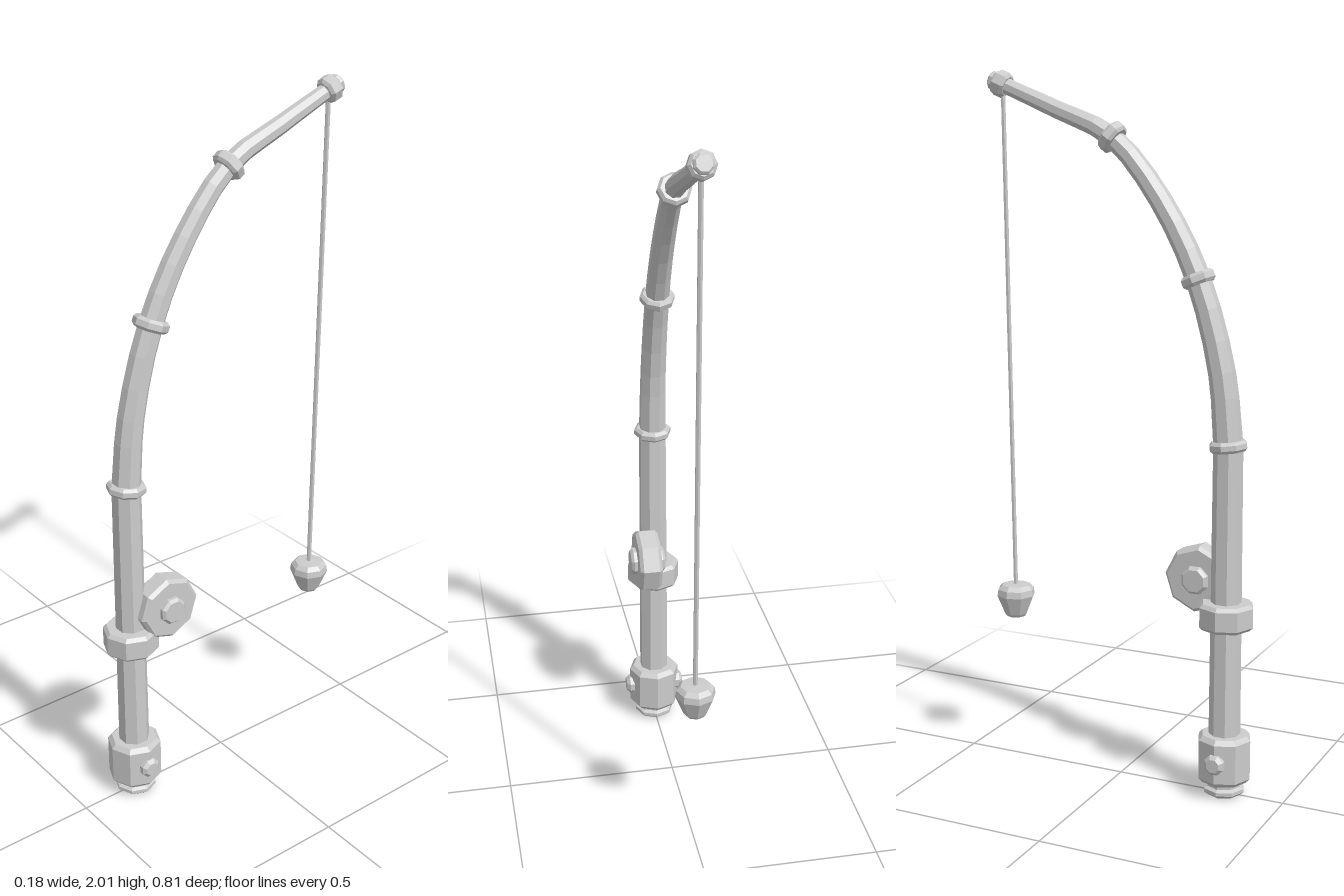
import * as THREE from 'three';

const SIDES = 8;
const ROD_Z = 0.323;
const material = new THREE.MeshStandardMaterial({ color: 0xcccccc, flatShading: true });

// Octagonal turned part from [radius, height] pairs, listed bottom to top
function turned(name, profile, phase = 0) {
  const points = profile.map(([r, y]) => new THREE.Vector2(r, y));
  const mesh = new THREE.Mesh(new THREE.LatheGeometry(points, SIDES, phase), material);
  mesh.name = name;
  return mesh;
}

// Closed disc with chamfered rims, centred on its own axis
function chamfered(name, radius, height, bevel, phase = 0) {
  const h = height / 2;
  return turned(name, [
    [0, -h], [radius - bevel, -h], [radius, -h + bevel],
    [radius, h - bevel], [radius - bevel, h], [0, h],
  ], phase);
}

// Bent pole: a tapered octagon swept along a curve in the yz plane
function sweptPole(curve, steps, radiusAt) {
  const positions = [];
  const index = [];
  for (let i = 0; i <= steps; i++) {
    const t = i / steps;
    const p = curve.getPoint(t);
    const d = curve.getTangent(t);
    const r = radiusAt(p, t);
    for (let j = 0; j < SIDES; j++) {
      const a = ((j + 0.5) / SIDES) * Math.PI * 2;
      const u = r * Math.sin(a);
      const v = r * Math.cos(a);
      positions.push(u, p.y - v * d.z, p.z + v * d.y);
    }
  }
  for (let i = 0; i < steps; i++) {
    for (let j = 0; j < SIDES; j++) {
      const a = i * SIDES + j;
      const b = i * SIDES + ((j + 1) % SIDES);
      index.push(a, b, b + SIDES, a, b + SIDES, a + SIDES);
    }
  }
  const geometry = new THREE.BufferGeometry();
  geometry.setAttribute('position', new THREE.Float32BufferAttribute(positions, 3));
  geometry.setIndex(index);
  geometry.computeVertexNormals();
  return geometry;
}

export function createModel() {
  const model = new THREE.Group();
  model.name = 'fishingRod';
  const up = new THREE.Vector3(0, 1, 0);
  const v = (y, z) => new THREE.Vector3(0, y, z);

  // Straight lower pole
  const handle = turned('handle', [[0, 0.1], [0.045, 0.1], [0.041, 1.0], [0, 1.0]], Math.PI / 8);
  handle.position.z = ROD_Z;
  model.add(handle);

  // Curved upper pole
  const curve = new THREE.CatmullRomCurve3([
    v(1.0, ROD_Z), v(1.2, 0.302), v(1.45, 0.23), v(1.66, 0.117),
    v(1.825, -0.027), v(1.9, -0.195), v(1.972, -0.37),
  ]);
  const pole = new THREE.Mesh(sweptPole(curve, 18, (p, t) => 0.041 - 0.019 * t), material);
  pole.name = 'bentPole';
  model.add(pole);

  // Guide rings along the pole, tilted to follow it
  const rings = [
    [0, 0.055, 0.03], [2 / 6, 0.05, 0.032], [4 / 6, 0.046, 0.035], [1, 0.037, 0.042],
  ];
  rings.forEach(([t, radius, height], i) => {
    const ring = chamfered('guideRing' + (i + 1), radius, height, 0.008);
    ring.position.copy(curve.getPoint(t));
    ring.quaternion.setFromUnitVectors(up, curve.getTangent(t));
    model.add(ring);
  });

  // Small cap past the last ring
  const cap = chamfered('tipCap', 0.027, 0.06, 0.006, Math.PI / 8);
  cap.quaternion.setFromUnitVectors(up, curve.getTangent(1));
  cap.position.copy(curve.getPoint(1)).addScaledVector(curve.getTangent(1), 0.006);
  model.add(cap);

  // Butt with its stepped foot
  const butt = turned('butt', [
    [0, 0], [0.048, 0], [0.06, 0.01], [0.06, 0.02], [0.05, 0.026], [0.05, 0.038],
    [0.066, 0.04], [0.078, 0.053], [0.078, 0.165], [0.066, 0.178], [0, 0.178],
  ]);
  butt.position.z = ROD_Z;
  model.add(butt);

  // Bolts on both sides of the butt
  for (const side of [-1, 1]) {
    const bolt = chamfered(side > 0 ? 'leftBolt' : 'rightBolt', 0.03, 0.04, 0.01, Math.PI / 8);
    bolt.rotation.z = Math.PI / 2;
    bolt.position.set(side * 0.07, 0.11, ROD_Z);
    model.add(bolt);
  }

  // Collar under the reel
  const collar = chamfered('collar', 0.08, 0.075, 0.01);
  collar.position.set(0, 0.523, ROD_Z);
  model.add(collar);

  // Reel drum and hub, axis across the pole
  const reel = new THREE.Group();
  reel.name = 'reel';
  const drum = chamfered('reelDrum', 0.096, 0.068, 0.01, 0.08);
  const hub = chamfered('reelHub', 0.041, 0.104, 0.008, Math.PI / 8);
  reel.add(drum, hub);
  reel.rotation.z = -Math.PI / 2;
  reel.position.set(0.035, 0.612, 0.23);
  model.add(reel);

  // Hanging line
  const top = v(1.96, -0.366);
  const bottom = v(0.515, -0.345);
  const line = new THREE.Mesh(
    new THREE.CylinderGeometry(0.007, 0.007, top.distanceTo(bottom), 6), material);
  line.name = 'line';
  line.position.copy(top).lerp(bottom, 0.5);
  line.quaternion.setFromUnitVectors(up, top.clone().sub(bottom).normalize());
  model.add(line);

  // Tapered weight at the end of the line
  const weight = turned('weight', [
    [0, 0.432], [0.028, 0.432], [0.034, 0.44], [0.057, 0.496], [0.054, 0.515], [0.042, 0.527], [0, 0.53],
  ]);
  weight.position.z = -0.345;
  model.add(weight);

  return model;
}
